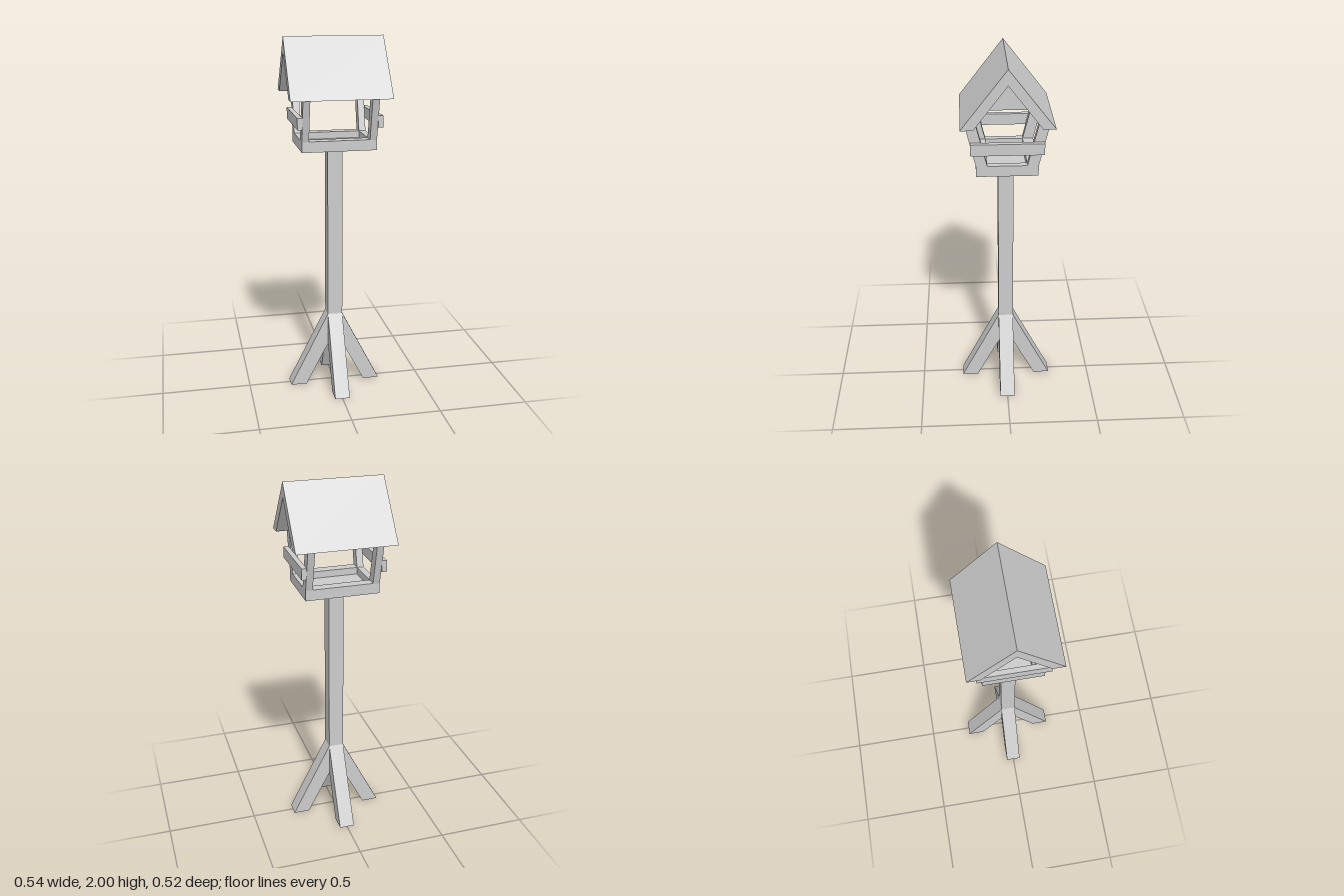
import * as THREE from 'three';

const material = new THREE.MeshStandardMaterial({ color: 0xcccccc, flatShading: true });

// Prism of a [side, height] outline, centred on its depth
function prism(name, points, depth) {
  const shape = new THREE.Shape(points.map(([a, y]) => new THREE.Vector2(a, y)));
  const geometry = new THREE.ExtrudeGeometry(shape, { depth, bevelEnabled: false });
  geometry.translate(0, 0, -depth / 2);
  const mesh = new THREE.Mesh(geometry, material);
  mesh.name = name;
  return mesh;
}

// Prism whose outline lies in the z-y plane and which runs along x
function crossPrism(name, points, depth, x = 0) {
  const mesh = prism(name, points, depth);
  mesh.geometry.rotateY(-Math.PI / 2);
  mesh.position.x = x;
  return mesh;
}

function box(name, w, h, d, x, y, z) {
  const mesh = new THREE.Mesh(new THREE.BoxGeometry(w, h, d), material);
  mesh.name = name;
  mesh.position.set(x, y, z);
  return mesh;
}

export function createModel() {
  const model = new THREE.Group();
  model.name = 'birdFeeder';

  // Square pole
  model.add(box('pole', 0.084, 0.98, 0.084, 0, 0.92, 0));

  // Four splayed legs
  for (let i = 0; i < 4; i++) {
    const leg = prism('leg', [[0, 0.325], [0.17, 0], [0.261, 0], [0.042, 0.43], [0, 0.43]], 0.084);
    leg.rotation.y = (i * Math.PI) / 2;
    model.add(leg);
  }

  // Tray: thin floor and raised rim
  model.add(box('trayFloor', 0.33, 0.02, 0.206, 0, 1.418, 0));
  for (const s of [-1, 1]) {
    model.add(box('trayLongRim', 0.406, 0.058, 0.059, 0, 1.437, s * 0.1325));
    model.add(box('trayEndRim', 0.038, 0.058, 0.206, s * 0.184, 1.437, 0));
  }

  // Each end: two leaning posts, a perch rail and a gable panel
  for (const s of [-1, 1]) {
    const x = s * 0.184;
    for (const t of [-1, 1]) {
      const outline = [[0.103, 1.464], [0.162, 1.464], [0.217, 1.692], [0.165, 1.71]];
      model.add(crossPrism('post', outline.map(([z, y]) => [t * z, y]), 0.038, x));
    }
    model.add(box('perchRail', 0.028, 0.062, 0.38, s * 0.216, 1.566, 0));
    model.add(crossPrism('gable', [[-0.112, 1.77], [0.112, 1.77], [0, 1.92]], 0.038, x));
  }

  // Pitched roof, one folded slab
  model.add(crossPrism('roof', [
    [0, 2], [-0.241, 1.69], [-0.175, 1.69], [0, 1.918], [0.175, 1.69], [0.241, 1.69],
  ], 0.544));

  return model;
}
